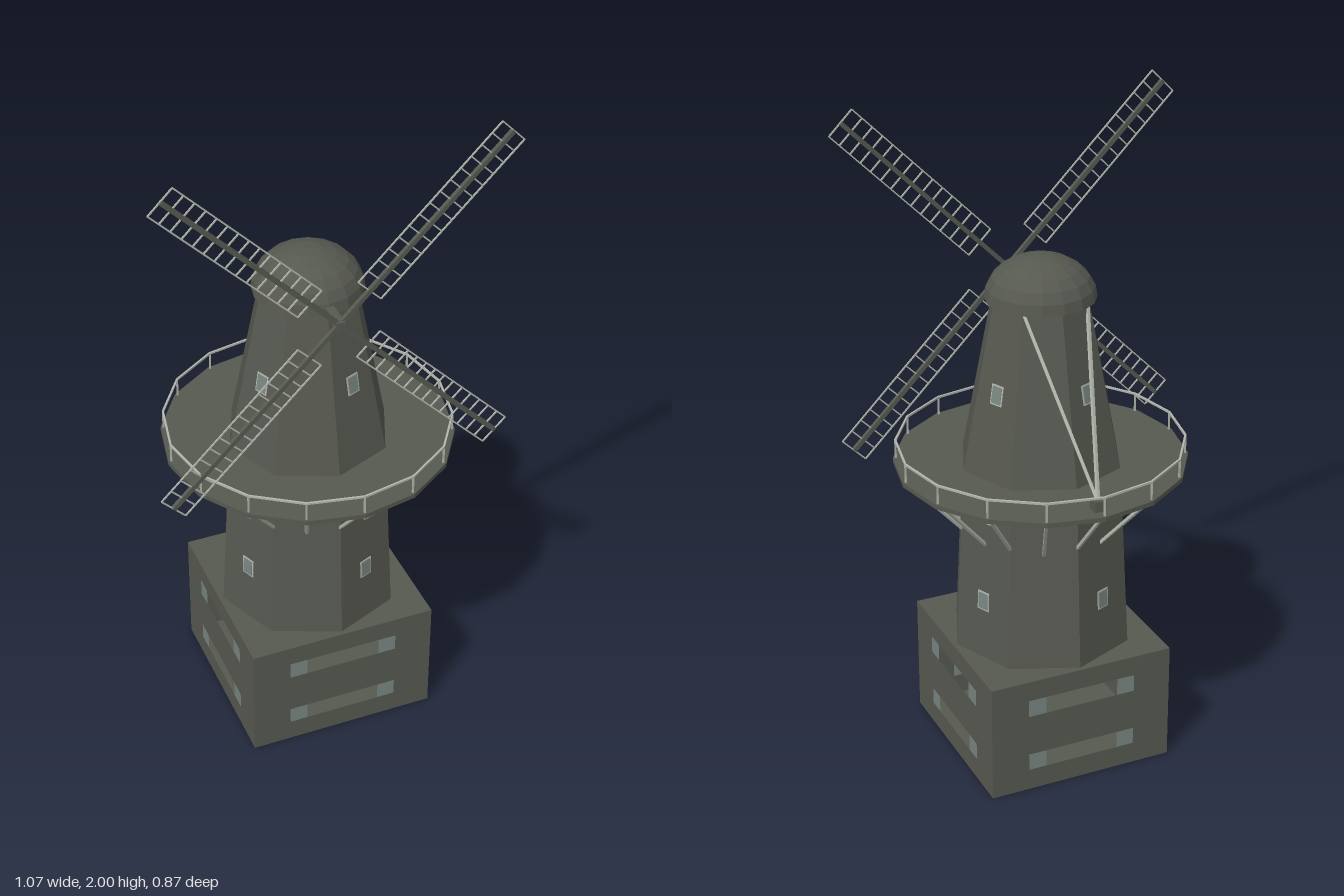
import * as THREE from 'three';

const V = (x, y, z) => new THREE.Vector3(x, y, z);

export function createModel() {
  function flatMaterial(name, color) {
    const m = new THREE.MeshStandardMaterial({ color, flatShading: true, side: THREE.DoubleSide });
    m.name = name;
    return m;
  }
  const stone = flatMaterial('dark stone', 0x565950);
  const glass = flatMaterial('window glass', 0x788581);
  const pale = flatMaterial('pale timber', 0xb2b5ab);

  const model = new THREE.Group();
  model.name = 'windmill';
  const mill = new THREE.Group();
  mill.name = 'mill';
  mill.position.x = 0.02;
  mill.rotation.y = -0.088;
  model.add(mill);

  function add(parent, name, geometry, x = 0, y = 0, z = 0, material = stone) {
    const mesh = new THREE.Mesh(geometry, material);
    mesh.name = name;
    mesh.position.set(x, y, z);
    parent.add(mesh);
    return mesh;
  }
  // Straight square bar between two points
  function beam(parent, name, a, b, size, material = stone) {
    const mesh = add(parent, name, new THREE.BoxGeometry(size, size, a.distanceTo(b)), 0, 0, 0, material);
    mesh.position.copy(a).lerp(b, 0.5);
    mesh.quaternion.setFromUnitVectors(V(0, 0, 1), b.clone().sub(a).normalize());
  }
  function group(name, parent = mill) {
    const g = new THREE.Group();
    g.name = name;
    parent.add(g);
    return g;
  }
  const polar = (r, y, a) => V(r * Math.sin(a), y, r * Math.cos(a));

  // Hollow square base: four slotted walls, floor and roof
  const W = 0.584, H = 0.373, slotHalf = 0.173, openHalf = 0.117;
  const slots = [[0.068, 0.122], [0.254, 0.309]];
  const points = list => list.map(p => new THREE.Vector2(...p));
  const wallShape = new THREE.Shape(points([[-W / 2, 0], [W / 2, 0], [W / 2, H], [-W / 2, H]]));
  for (const [lo, hi] of slots) {
    wallShape.holes.push(new THREE.Path(
      points([[-slotHalf, lo], [-slotHalf, hi], [slotHalf, hi], [slotHalf, lo]])));
  }
  const wallGeometry = new THREE.ShapeGeometry(wallShape);
  const base = group('base');
  for (let i = 0; i < 4; i++) {
    const side = group('baseSide', base);
    side.rotation.y = i * Math.PI / 2;
    add(side, 'baseWall', wallGeometry, 0, 0, W / 2);
    for (const [lo, hi] of slots) {
      for (const s of [-1, 1]) {
        add(side, 'basePane', new THREE.PlaneGeometry(slotHalf - openHalf, hi - lo),
          s * (slotHalf + openHalf) / 2, (lo + hi) / 2, W / 2, glass);
      }
    }
  }
  add(base, 'baseFloor', new THREE.BoxGeometry(W, 0.004, W), 0, 0.002, 0);
  add(base, 'baseRoof', new THREE.BoxGeometry(W, 0.004, W), 0, H - 0.002, 0);

  // Eight-sided tower in two tapering sections
  const sections = [
    { name: 'lowerTower', y0: H, y1: 0.94, r0: 0.279, r1: 0.249 },
    { name: 'upperTower', y0: 0.94, y1: 1.46, r0: 0.249, r1: 0.146 },
  ];
  for (const s of sections) {
    add(mill, s.name, new THREE.CylinderGeometry(s.r1, s.r0, s.y1 - s.y0, 8), 0, (s.y0 + s.y1) / 2, 0);
  }

  // Pale-framed windows on every second face, three levels
  const windows = group('windows');
  for (const y of [0.56, 0.843, 1.203]) {
    const s = sections[y < 0.94 ? 0 : 1];
    const slope = (s.r0 - s.r1) / (s.y1 - s.y0);
    const r = (s.r0 - slope * (y - s.y0)) * Math.cos(Math.PI / 8);
    for (let i = 0; i < 4; i++) {
      const a = Math.PI / 8 + i * Math.PI / 2;
      const holder = group('window', windows);
      holder.position.copy(polar(r, y, a));
      holder.rotation.set(-Math.atan(slope * Math.cos(Math.PI / 8)), a, 0, 'YXZ');
      add(holder, 'windowFrame', new THREE.BoxGeometry(0.044, 0.06, 0.004), 0, 0, 0, pale);
      add(holder, 'windowPane', new THREE.BoxGeometry(0.035, 0.051, 0.007), 0, 0, 0, glass);
    }
  }

  // Faceted dome cap
  const profile = [new THREE.Vector2(0, 0), new THREE.Vector2(0.163, 0)];
  for (let i = 1; i <= 6; i++) {
    const t = i / 6 * Math.PI / 2;
    profile.push(new THREE.Vector2(Math.max(0, 0.163 * Math.cos(t)), 0.125 * Math.sin(t)));
  }
  add(mill, 'cap', new THREE.LatheGeometry(profile, 16), 0, 1.453, 0);

  // Gallery deck with pale railing and struts
  const gallery = group('gallery');
  add(gallery, 'deck', new THREE.CylinderGeometry(0.436, 0.436, 0.014, 16), 0, 0.942, 0);
  for (let i = 0; i < 16; i++) {
    const a = i * Math.PI / 8, b = a + Math.PI / 8;
    beam(gallery, 'railPost', polar(0.427, 0.945, a), polar(0.427, 1.006, a), 0.005, pale);
    beam(gallery, 'handRail', polar(0.427, 1.006, a), polar(0.427, 1.006, b), 0.006, pale);
    beam(gallery, 'strut', polar(0.412, 0.937, a), polar(0.22, 0.724, a), 0.009, pale);
  }

  // Tail poles and winch at the back
  const tail = group('tail');
  for (const s of [-1, 1]) beam(tail, 'tailPole', V(s * 0.1, 1.455, -0.1), V(0, 0.97, -0.385), 0.009, pale);
  add(tail, 'winch', new THREE.BoxGeometry(0.034, 0.034, 0.034), 0, 0.965, -0.385);

  // Windshaft and four sails: dark spar, pale lattice
  const axisY = 1.465, sailZ = 0.23;
  beam(mill, 'windshaft', V(0, axisY, 0.08), V(0, axisY, sailZ + 0.015), 0.026);
  const sails = group('sails');
  sails.position.set(0, axisY, sailZ);
  const inner = 0.125, outer = 0.706, half = 0.049, cells = 14;
  for (let k = 0; k < 4; k++) {
    const sail = group('sail', sails);
    sail.rotation.z = Math.PI / 4 + k * Math.PI / 2;
    beam(sail, 'spar', V(0, 0, 0), V(0, outer, 0), 0.013);
    for (const s of [-1, 1]) beam(sail, 'sailEdge', V(s * half, inner, 0), V(s * half, outer, 0), 0.004, pale);
    for (let i = 0; i <= cells; i++) {
      const y = inner + (outer - inner) * i / cells;
      beam(sail, 'sailRung', V(-half, y, 0), V(half, y, 0), 0.004, pale);
    }
  }
  return model;
}
